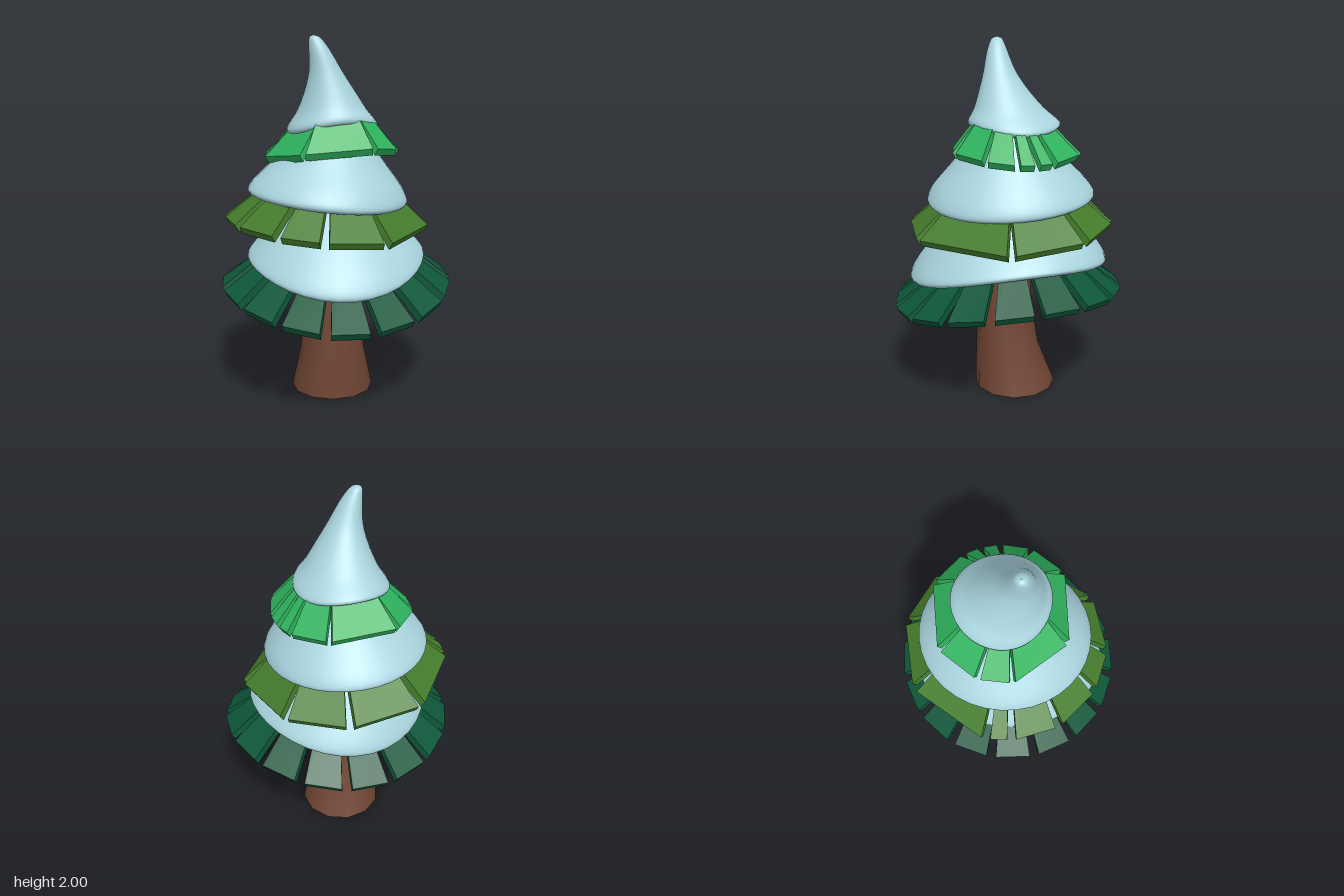
import * as THREE from 'three';

const { clamp, degToRad } = THREE.MathUtils;
const mat = (name, color) => Object.assign(new THREE.MeshStandardMaterial({ color }), { name });

// Waviness of a tier's rim around the tree: angle 0 = +x, quarter turn = +z
const ripple = ([c1, s1, c2, s2], a) =>
  c1 * Math.cos(a) + s1 * Math.sin(a) + c2 * Math.cos(2 * a) + s2 * Math.sin(2 * a);

// Surface through rings listed from top to bottom
function loft(rings, sides, depth = 1) {
  const pos = [], index = [];
  rings.forEach(({ y, r, cx, cz, lift = () => 0 }, j) => {
    for (let i = 0; i < sides; i++) {
      const a = (i / sides) * Math.PI * 2;
      pos.push(cx + r * Math.cos(a), y + lift(a), cz + r * depth * Math.sin(a));
      if (j === rings.length - 1) continue;
      const p = j * sides + i, q = j * sides + (i + 1) % sides;
      index.push(p, q, q + sides, p, q + sides, p + sides);
    }
  });
  const g = new THREE.BufferGeometry();
  g.setAttribute('position', new THREE.Float32BufferAttribute(pos, 3));
  g.setIndex(index);
  g.computeVertexNormals();
  return g;
}

// Snow cap: leaning outer profile with a wavy rim, then curled under towards the trunk
function snowCap({ profile, centre, lean, depth, wave }) {
  const top = profile[0][1], [rimR, rimY] = profile[profile.length - 1];
  const under = [[rimR * 0.95, rimY - 0.02], [rimR * 0.85, rimY], [rimR * 0.28, rimY + 0.23]];
  const points = [...profile, ...under].map(([r, y]) => new THREE.Vector3(r, y, 0));
  const rings = new THREE.CatmullRomCurve3(points).getPoints(points.length * 4).map(({ x: r, y }) => {
    const t = clamp((y - rimY) / (top - rimY), 0, 1);
    return {
      y, r,
      cx: centre[0] + lean[0] * t * t,
      cz: centre[1] + lean[1] * Math.sin(t * Math.PI / 2),
      lift: (a) => (1 - t) ** 3 * ripple(wave, a),
    };
  });
  return loft(rings, 36, depth);
}

// Sloping board between two angles, running inwards and up under the snow
function needleBoard(from, to, { centre, reach, rimY, wave, rise }) {
  const corner = (a) => new THREE.Vector3(
    centre[0] + reach * Math.cos(a), rimY - 0.13 + ripple(wave, a), centre[1] + reach * Math.sin(a));
  const right = corner(from), left = corner(to);
  const middle = right.clone().add(left).multiplyScalar(0.5);
  const inward = new THREE.Vector3(-middle.x, 0, -middle.z).setLength(0.02);
  const g = new THREE.BoxGeometry(1, 1, 1), p = g.attributes.position;
  for (let i = 0; i < p.count; i++) {
    const v = (p.getX(i) > 0 ? right : left).clone();
    if (p.getZ(i) < 0) {
      v.sub(middle).multiplyScalar(1.3).add(middle).multiplyScalar(0.32);
      v.y = middle.y + rise;
    }
    if (p.getY(i) < 0) {
      v.add(inward);
      v.y -= 0.035;
    }
    p.setXYZ(i, v.x, v.y, v.z);
  }
  g.computeVertexNormals();
  return g;
}

// Tiers: snow profile as [radius, y], rim ripple, and start angles of the boards
const tiers = [
  {
    name: 'lower', needles: mat('darkGreen', 0x0e573a),
    centre: [0, 0], lean: [0, -0.06], depth: 1.12,
    rimY: 0.756, wave: [0.008, -0.045, 0.04, -0.016],
    profile: [[0.17, 1.25], [0.37, 0.97], [0.485, 0.81], [0.495, 0.775]],
    reach: 0.645, rise: 0.32,
    starts: Array.from({ length: 16 }, (_, i) => i * 22.5 - 14),
  },
  {
    name: 'middle', needles: mat('mossGreen', 0x457d2c),
    centre: [-0.045, -0.015], lean: [0.04, 0], depth: 1.05,
    rimY: 1.123, wave: [-0.034, -0.015, 0, -0.005],
    profile: [[0.13, 1.6], [0.285, 1.36], [0.425, 1.19], [0.445, 1.14]],
    reach: 0.57, rise: 0.33,
    starts: [0, 61, 95, 120, 149, 176, 190, 240, 281, 317],
  },
  {
    name: 'upper', needles: mat('brightGreen', 0x2fb35e),
    centre: [-0.02, -0.035], lean: [-0.098, 0.097], depth: 1,
    rimY: 1.52, wave: [0.012, 0, -0.018, 0.013],
    profile: [[0.001, 2], [0.026, 1.99], [0.047, 1.95], [0.095, 1.8], [0.188, 1.62], [0.252, 1.53]],
    reach: 0.378, rise: 0.26,
    starts: [-2, 24, 57, 117, 171, 198, 235, 293, 327, 342],
  },
];

export function createModel() {
  const tree = new THREE.Group();
  tree.name = 'snowyTree';
  const snow = mat('snow', 0xaad5df);
  const bark = mat('bark', 0x714634);
  const add = (parent, name, geometry, material) => {
    const mesh = new THREE.Mesh(geometry, material);
    mesh.name = name;
    parent.add(mesh);
  };

  // Trunk, flared backwards at the foot
  const trunkRings = [[1.05, 0.12, 0.015], [0.5, 0.155, 0.015], [0.25, 0.182, 0.005], [0, 0.234, -0.042]]
    .map(([y, r, cz]) => ({ y, r, cx: -0.02, cz }));
  const foot = trunkRings[trunkRings.length - 1];
  add(tree, 'trunk', loft(trunkRings, 12), bark);
  add(tree, 'trunkFoot',
    new THREE.CircleGeometry(foot.r, 12).rotateX(Math.PI / 2).translate(foot.cx, foot.y, foot.cz), bark);

  // Each tier is a snow cap over a fringe of boards
  for (const tier of tiers) {
    const group = new THREE.Group();
    group.name = tier.name + 'Tier';
    add(group, tier.name + 'SnowCap', snowCap(tier), snow);
    tier.starts.forEach((start, i) => {
      const end = (tier.starts[i + 1] ?? tier.starts[0] + 360) - 5;
      add(group, tier.name + 'NeedleBoard', needleBoard(degToRad(start), degToRad(end), tier), tier.needles);
    });
    tree.add(group);
  }
  return tree;
}
